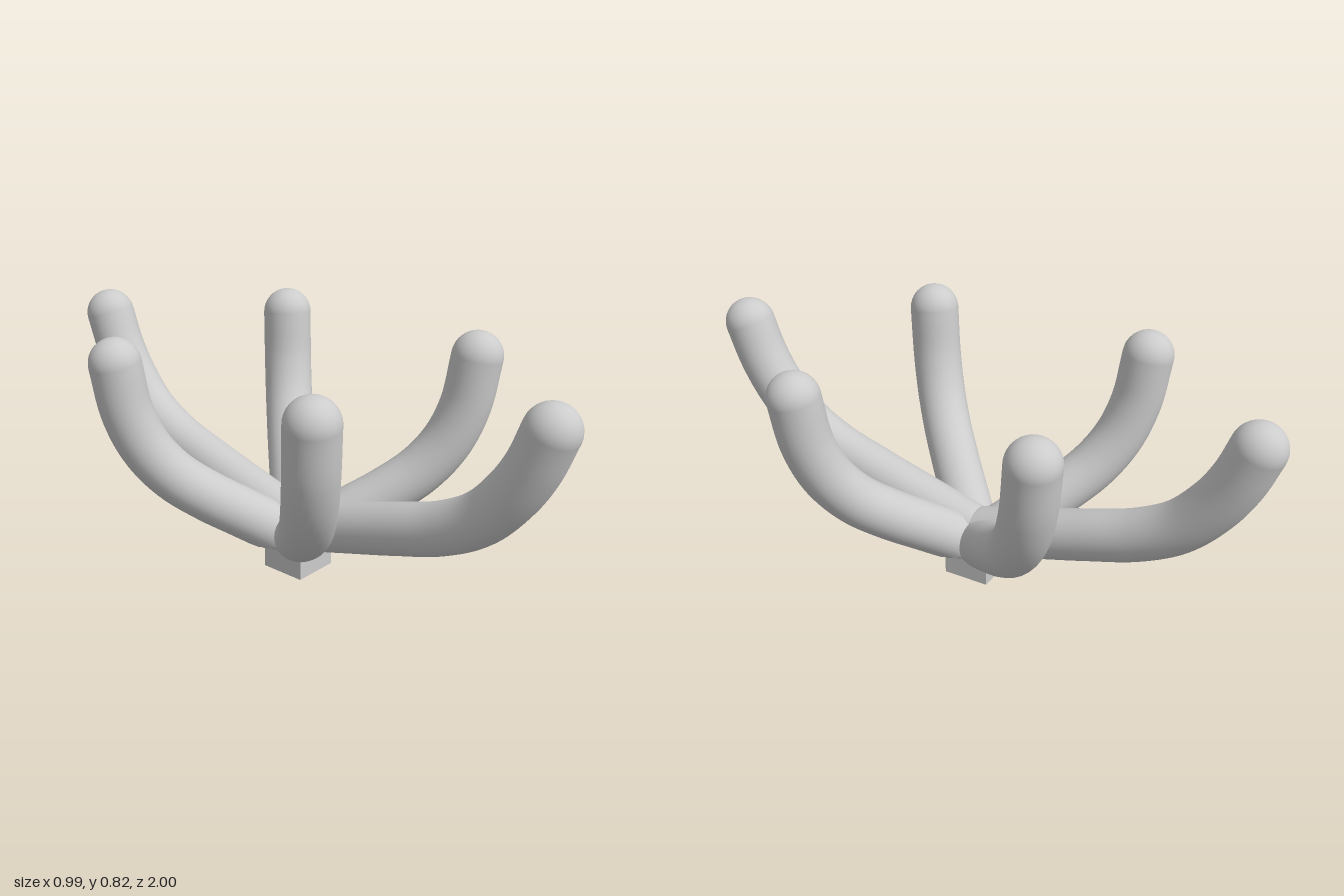
import * as THREE from 'three';
import { toCreasedNormals } from 'three/addons/utils/BufferGeometryUtils.js';

const RADIUS = 0.085;
const FLOOR = 0.095; // underside of the arms is cut flat here

const material = new THREE.MeshStandardMaterial({ color: 0xcccccc });

// Arm centre lines as [distance from the middle, height]
const LONG_ARM = [[-0.1, 0.12], [0, 0.148], [0.2, 0.206], [0.41, 0.268], [0.58, 0.325],
  [0.71, 0.4], [0.81, 0.51], [0.87, 0.61], [0.915, 0.725]];
const SHORT_ARM = [[-0.1, 0.045], [0, 0.1], [0.19, 0.205], [0.3, 0.267], [0.41, 0.345],
  [0.495, 0.445], [0.55, 0.57], [0.58, 0.735]];

// One bent tube with a domed tip, pointing along +z and turned about y
function makeArm(name, profile, angle) {
  const arm = new THREE.Group();
  arm.name = name;
  const curve = new THREE.CatmullRomCurve3(profile.map(([r, y]) => new THREE.Vector3(0, y, r)));

  // Trim the root at the middle plane and flatten it underneath
  const tube = new THREE.TubeGeometry(curve, 80, RADIUS, 32);
  const p = tube.attributes.position;
  for (let i = 0; i < p.count; i++) {
    p.setY(i, Math.max(p.getY(i), FLOOR));
    p.setZ(i, Math.max(p.getZ(i), 0));
  }
  const limb = new THREE.Mesh(toCreasedNormals(tube, 0.25), material);
  limb.name = name + 'Tube';

  const dome = new THREE.SphereGeometry(RADIUS, 32, 12, 0, Math.PI * 2, 0, Math.PI / 2);
  const tip = new THREE.Mesh(dome, material);
  tip.name = name + 'Tip';
  tip.position.copy(curve.getPoint(1));
  tip.quaternion.setFromUnitVectors(new THREE.Vector3(0, 1, 0), curve.getTangent(1));

  arm.add(limb, tip);
  arm.rotation.y = angle;
  return arm;
}

export function createModel() {
  const model = new THREE.Group();
  model.name = 'sixArmedStand';

  // Square foot
  const foot = new THREE.Mesh(new THREE.BoxGeometry(0.16, 0.1, 0.16), material);
  foot.name = 'foot';
  foot.position.y = 0.05;
  model.add(foot);

  // Long arms front and back
  model.add(makeArm('frontArm', LONG_ARM, 0), makeArm('backArm', LONG_ARM, Math.PI));

  // Short arms on the diagonals
  ['frontLeftArm', 'backLeftArm', 'backRightArm', 'frontRightArm'].forEach((name, i) => {
    model.add(makeArm(name, SHORT_ARM, Math.PI / 4 + i * Math.PI / 2));
  });

  return model;
}
